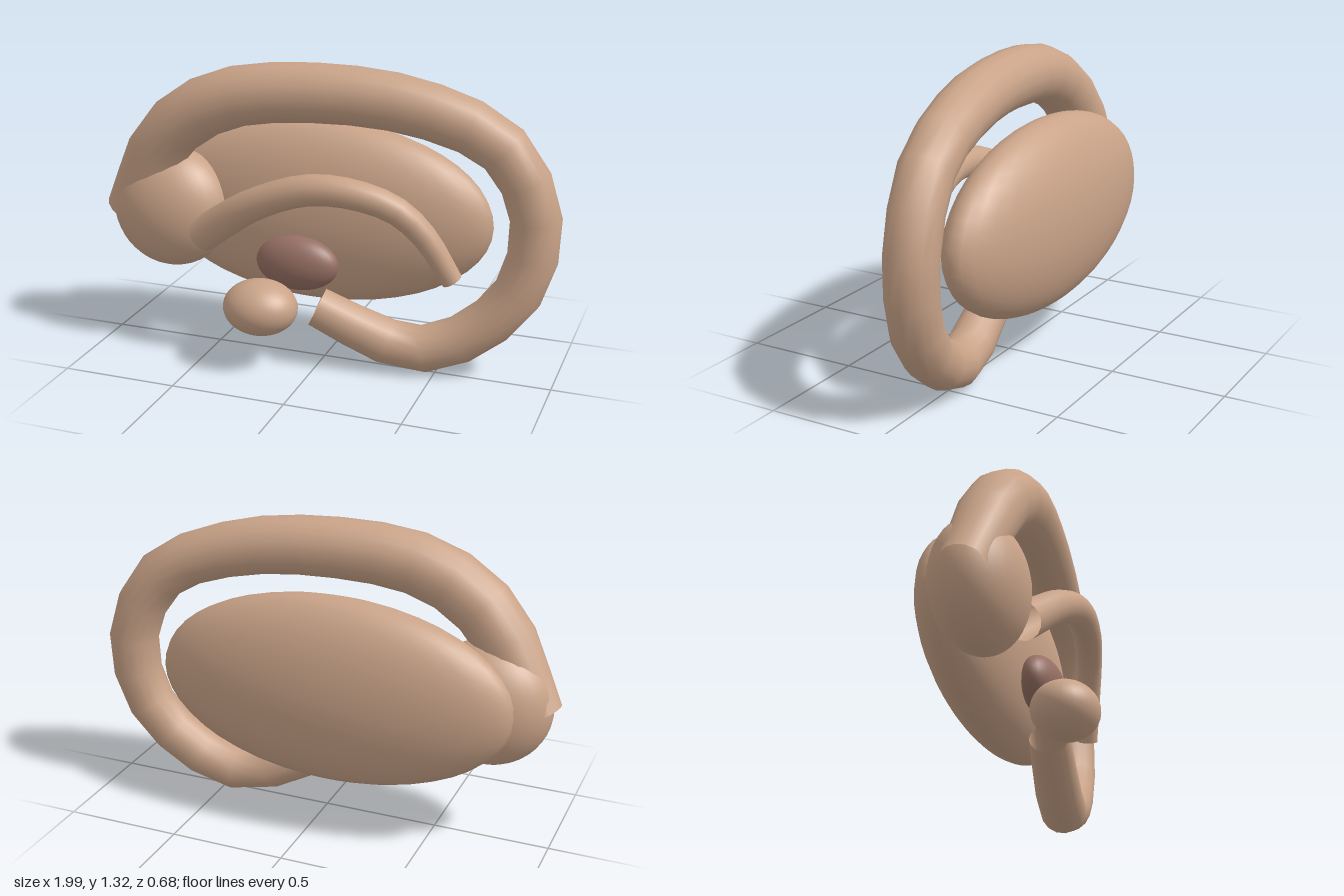
import * as THREE from 'three';

// Tube along a smooth path of [x, y, z] points whose radius follows evenly spaced stops
function taperedTube(points, radii, segments, sides) {
  const path = new THREE.CatmullRomCurve3(points.map(p => new THREE.Vector3(...p)));
  const geo = new THREE.TubeGeometry(path, segments, 1, sides, false);
  const pos = geo.attributes.position;
  const v = new THREE.Vector3();
  for (let i = 0; i <= segments; i++) {
    const t = i / segments;
    const centre = path.getPointAt(t);
    const s = t * (radii.length - 1);
    const k = Math.min(Math.floor(s), radii.length - 2);
    const r = THREE.MathUtils.lerp(radii[k], radii[k + 1], s - k);
    for (let j = 0; j <= sides; j++) {
      const n = i * (sides + 1) + j;
      v.fromBufferAttribute(pos, n).sub(centre).multiplyScalar(r).add(centre);
      pos.setXYZ(n, v.x, v.y, v.z);
    }
  }
  return geo;
}

export function createModel() {
  const group = new THREE.Group();
  const tan = new THREE.MeshStandardMaterial({ color: 0xc9a388, side: THREE.DoubleSide });
  tan.name = 'tan';
  const mauve = new THREE.MeshStandardMaterial({ color: 0x966f64 });
  mauve.name = 'mauve';

  const add = (name, geo, mat) => {
    const mesh = new THREE.Mesh(geo, mat);
    mesh.name = name;
    group.add(mesh);
    return mesh;
  };
  const ellipsoid = (name, centre, radii, mat = tan) => {
    const mesh = add(name, new THREE.SphereGeometry(1, 32, 24), mat);
    mesh.position.set(...centre);
    mesh.scale.set(...radii);
  };

  // Rounded lobes
  ellipsoid('mainBody', [-0.08, 0.64, -0.14], [0.78, 0.41, 0.2]);
  ellipsoid('sideLobe', [-0.71, 0.63, 0.01], [0.27, 0.27, 0.19]);
  ellipsoid('innerLobe', [-0.1, 0.46, 0.07], [0.185, 0.12, 0.085], mauve);
  ellipsoid('lowerLobe', [-0.22, 0.29, 0.2], [0.163, 0.12, 0.14]);

  // Large arch curling round the body, open at both ends
  add('outerArch', taperedTube([
    [-0.92, 0.6, 0.02], [-0.68, 0.99, 0.06], [-0.42, 1.15, 0.06], [0, 1.2, 0.02],
    [0.42, 1.155, -0.03], [0.73, 1.02, -0.07], [0.865, 0.8, -0.09], [0.885, 0.6, -0.09],
    [0.82, 0.38, -0.07], [0.62, 0.18, -0.035], [0.4, 0.105, 0], [0.22, 0.16, 0.03], [-0.01, 0.27, 0.07],
  ], [0.1, 0.13, 0.13, 0.127, 0.122, 0.114, 0.108, 0.106, 0.103, 0.1, 0.086], 22, 16), tan);

  // Thin arch across the front
  add('innerArch', taperedTube([
    [-0.52, 0.555, 0.12], [-0.25, 0.74, 0.18], [0, 0.835, 0.195], [0.2, 0.83, 0.18],
    [0.36, 0.77, 0.145], [0.47, 0.66, 0.11], [0.58, 0.47, 0.07],
  ], [0.078, 0.072, 0.068, 0.065, 0.06, 0.053, 0.045], 18, 16), tan);

  return group;
}
